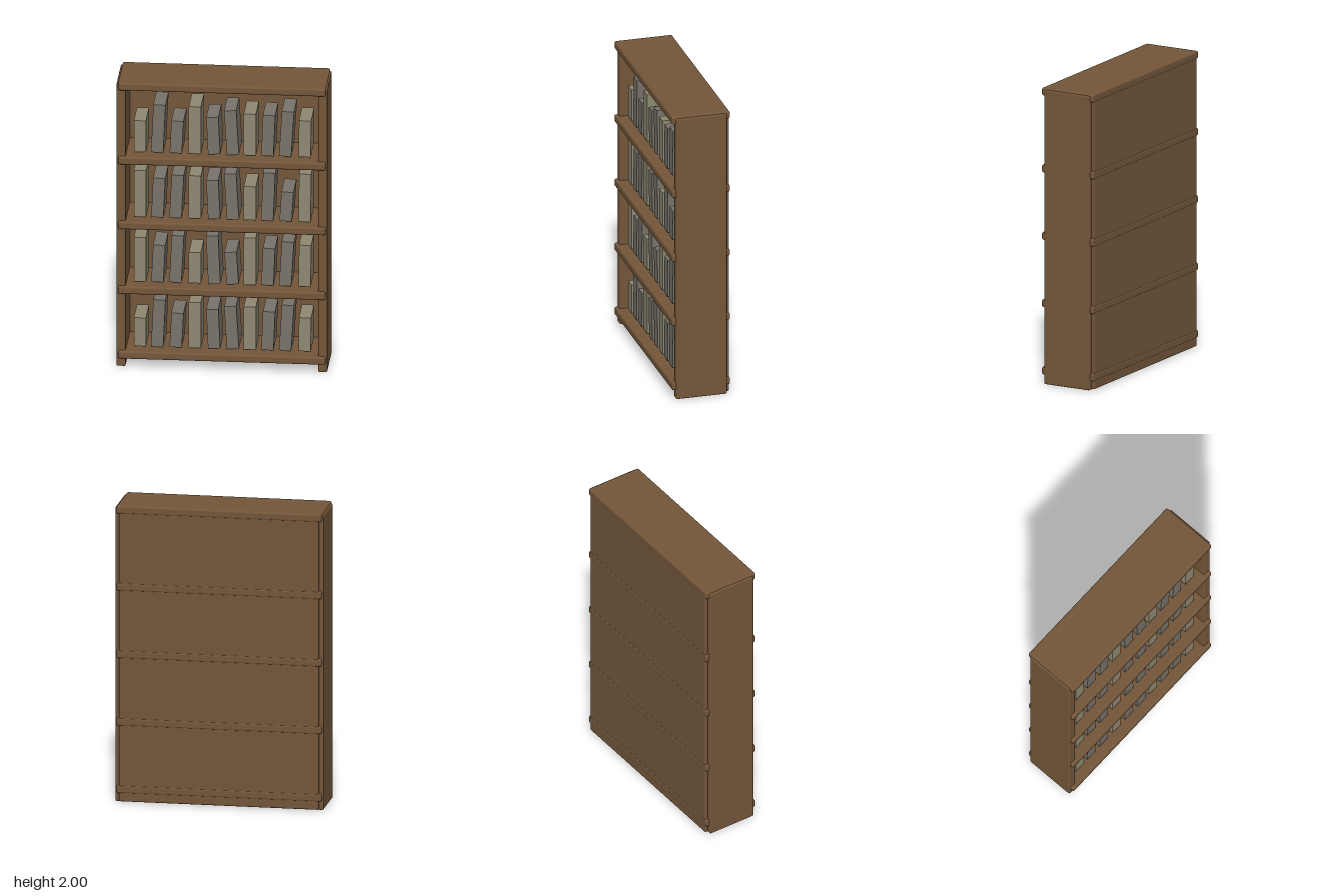
import * as THREE from 'three';
import { RoundedBoxGeometry } from 'three/addons/geometries/RoundedBoxGeometry.js';

const wood = new THREE.MeshStandardMaterial({ color: 0x73563a });
const paleCover = new THREE.MeshStandardMaterial({ color: 0x8f8872 });
const darkCover = new THREE.MeshStandardMaterial({ color: 0x78736a });

// Rounded plank, positioned by its bottom
function plank(name, w, h, d, x, bottom, z, radius) {
  const mesh = new THREE.Mesh(new RoundedBoxGeometry(w, h, d, 3, radius), wood);
  mesh.name = name;
  mesh.position.set(x, bottom + h / 2, z);
  return mesh;
}

// Book heights per shelf, in hundredths, from the lowest shelf up
const bookRows = [
  [20, 33, 24, 32, 27.5, 30, 30, 27, 32, 23.5],
  [31, 26, 33, 21.5, 33.5, 22.5, 33, 26, 31, 29],
  [32.5, 27.5, 30, 30, 27, 32, 23.5, 33.5, 20.5, 33.5],
  [22, 33.5, 22.5, 33, 26, 31, 29, 28.5, 31.5, 25.5],
];
const bookLean = [0, -0.045, -0.05, 0, 0.045, 0.06, 0, -0.04, -0.06, -0.015];

export function createModel() {
  const model = new THREE.Group();
  model.name = 'bookcase';

  // Upright sides
  for (const s of [-1, 1]) {
    model.add(plank(s > 0 ? 'leftSide' : 'rightSide', 0.06, 1.99, 0.345, s * 0.663, 0, 0, 0.01));
  }

  // Back panel and top board
  model.add(plank('backPanel', 1.33, 1.985, 0.028, 0, 0.005, -0.18, 0.008));
  model.add(plank('topBoard', 1.364, 0.053, 0.394, 0, 1.947, 0, 0.012));

  // Shelves, each with a row of books
  bookRows.forEach((heights, row) => {
    const y = 0.06 + row * 0.4555;
    model.add(plank('shelf', 1.364, 0.053, 0.394, 0, y, 0, 0.012));

    const books = new THREE.Group();
    books.name = 'bookRow';
    heights.forEach((hundredths, i) => {
      const h = hundredths / 100;
      const book = new THREE.Mesh(
        new THREE.BoxGeometry(0.08, h, 0.24),
        i % 3 === 0 ? paleCover : darkCover
      );
      book.name = 'book';
      book.position.set(-0.542 + i * 0.1204, y + 0.068 + h / 2, 0.01);
      book.rotation.z = bookLean[i];
      books.add(book);
    });
    model.add(books);
  });

  return model;
}
